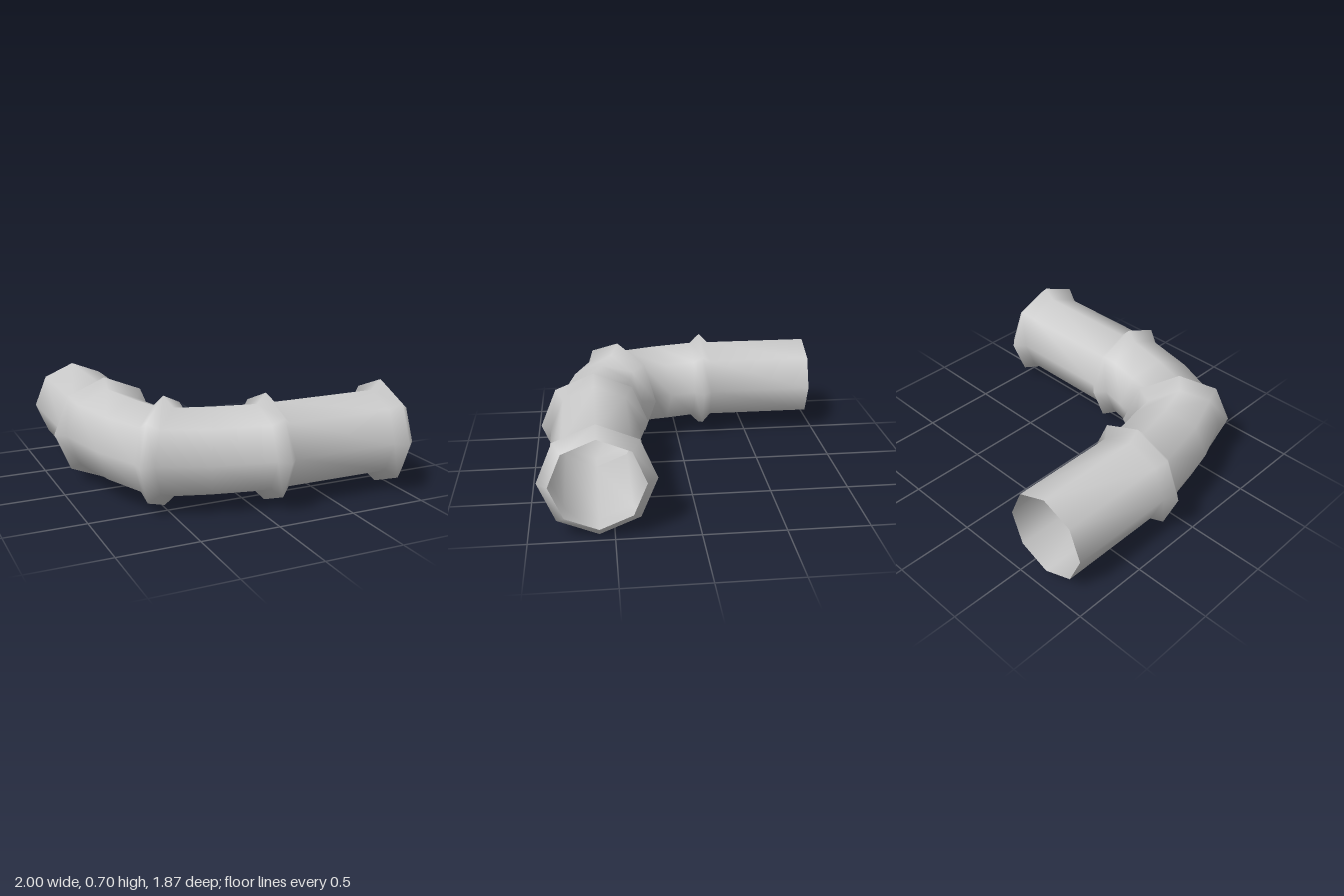
import * as THREE from 'three';

const SIDES = 8;
const R = 0.28, RIDGE = 0.344, MID_Y = 0.35;

// Half of the run: [x, z, turn in degrees, radius], from the plain open end to the bend
const rearHalf = [
  [-0.66, -0.94, 0, R],
  [-0.66, -0.24, 0, R],
  [-0.66, -0.18, 0, RIDGE],
  [-0.66, -0.12, 0, R],
  [-0.6, 0.155, 22.5, R],
  [-0.532, 0.37, 45, R],
];
// The other half is the same run reflected across the diagonal of the bend
const mirrored = rearHalf.map(([x, z, turn, r]) => [-z - 0.07, -x - 0.07, 90 - turn, r]).reverse();
const sections = [
  ...rearHalf,
  [-0.485, 0.415, 45, 0.348],
  ...mirrored,
  [0.935, 0.59, 90, RIDGE],
  [1, 0.59, 90, R],
];

// Part name, first section, last section
const parts = [
  ['rearPipe', 0, 1],
  ['rearCollar', 1, 3],
  ['rearElbow', 3, 5],
  ['elbowCollar', 5, 7],
  ['sideElbow', 7, 9],
  ['sideCollar', 9, 11],
  ['sidePipe', 11, 12],
  ['endCollar', 12, 14],
];

function stripIndex(first, last) {
  const index = [];
  for (let i = first; i < last; i++) {
    for (let j = 0; j < SIDES; j++) {
      const k = (j + 1) % SIDES;
      const a = i * SIDES + j, b = a + SIDES;
      const c = i * SIDES + k, d = c + SIDES;
      index.push(a, b, c, b, d, c);
    }
  }
  return index;
}

export function createModel() {
  const group = new THREE.Group();
  group.name = 'elbowPipe';

  // Octagonal cross-sections along the bent centre line
  const positions = [];
  for (const [x, z, turn, r] of sections) {
    const t = THREE.MathUtils.degToRad(turn);
    for (let j = 0; j < SIDES; j++) {
      const a = (j / SIDES) * Math.PI * 2;
      const out = r * Math.cos(a);
      positions.push(x - out * Math.cos(t), MID_Y + r * Math.sin(a), z + out * Math.sin(t));
    }
  }

  // Smooth normals are shared across the whole run, so the parts join without seams
  const run = new THREE.BufferGeometry();
  run.setAttribute('position', new THREE.Float32BufferAttribute(positions, 3));
  run.setIndex(stripIndex(0, sections.length - 1));
  run.computeVertexNormals();

  const material = new THREE.MeshStandardMaterial({ color: 0xcccccc, side: THREE.DoubleSide });
  for (const [name, first, last] of parts) {
    const geometry = new THREE.BufferGeometry();
    for (const key of ['position', 'normal']) {
      const values = run.getAttribute(key).array.slice(first * SIDES * 3, (last + 1) * SIDES * 3);
      geometry.setAttribute(key, new THREE.BufferAttribute(values, 3));
    }
    geometry.setIndex(stripIndex(0, last - first));
    const mesh = new THREE.Mesh(geometry, material);
    mesh.name = name;
    group.add(mesh);
  }
  return group;
}
